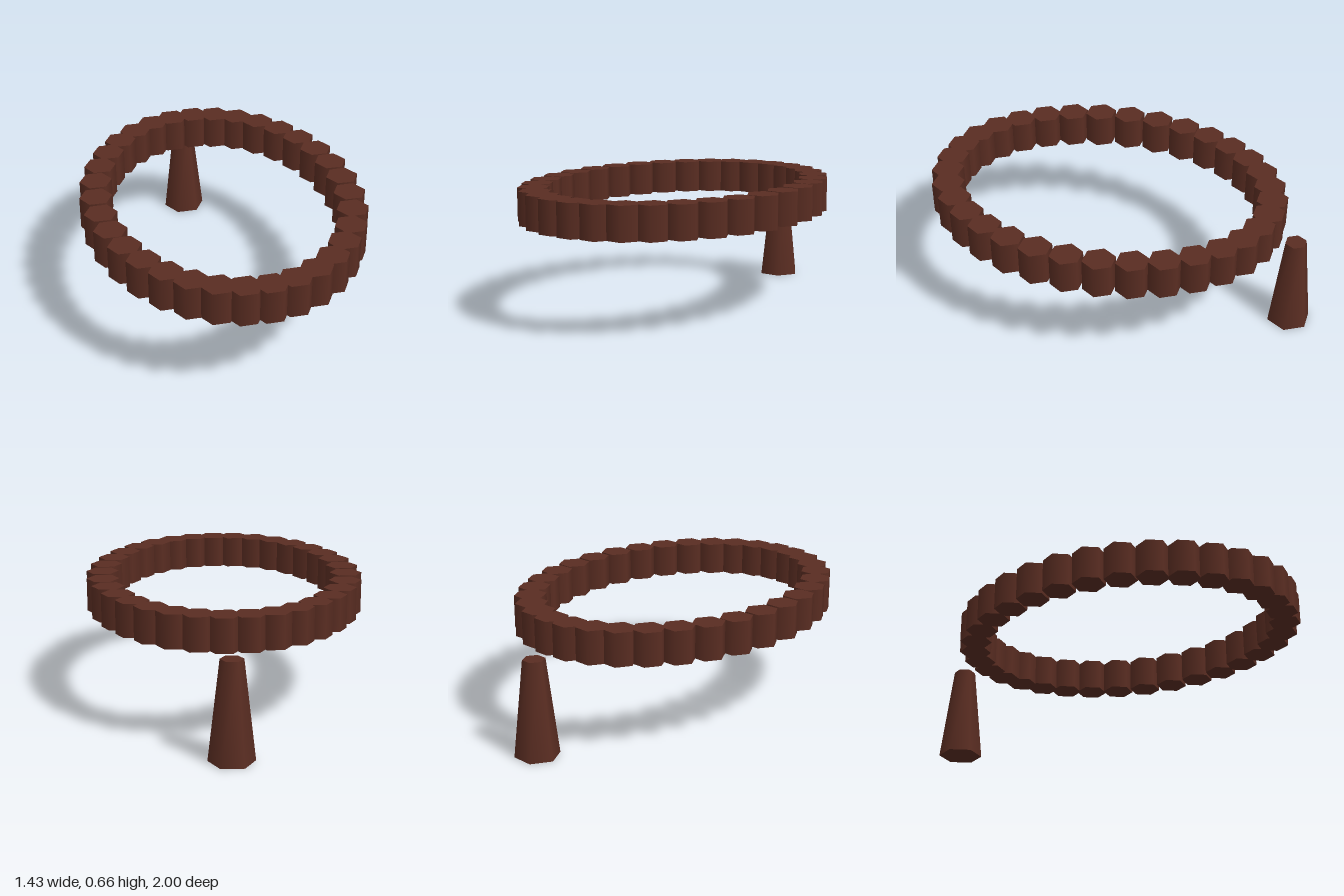
import * as THREE from 'three';

export function createModel() {
  const model = new THREE.Group();
  const material = new THREE.MeshStandardMaterial({ color: 0x5a2d22 });
  const centreX = -0.0014;

  // Six-sided column with corners towards +x and -x
  const hexColumn = (topRadius, bottomRadius, height) =>
    new THREE.CylinderGeometry(topRadius, bottomRadius, height, 6).rotateY(Math.PI / 6);

  const add = (geometry, name, x, y, z, parent = model) => {
    const mesh = new THREE.Mesh(geometry, material);
    mesh.name = name;
    mesh.position.set(x, y, z);
    parent.add(mesh);
  };

  // Oval ring of equal hexagonal posts
  const ring = new THREE.Group();
  ring.name = 'ring';
  model.add(ring);
  const count = 33;
  const post = hexColumn(0.083, 0.083, 0.168);
  for (let i = 0; i < count; i++) {
    const angle = (i / count) * Math.PI * 2;
    add(post, 'ringPost', centreX + 0.632 * Math.cos(angle), 0.578, 0.084 - 0.844 * Math.sin(angle), ring);
  }

  // Tapered handle below the back of the ring
  add(hexColumn(0.056, 0.1126, 0.494), 'handle', centreX, 0.247, -0.9025);

  return model;
}
